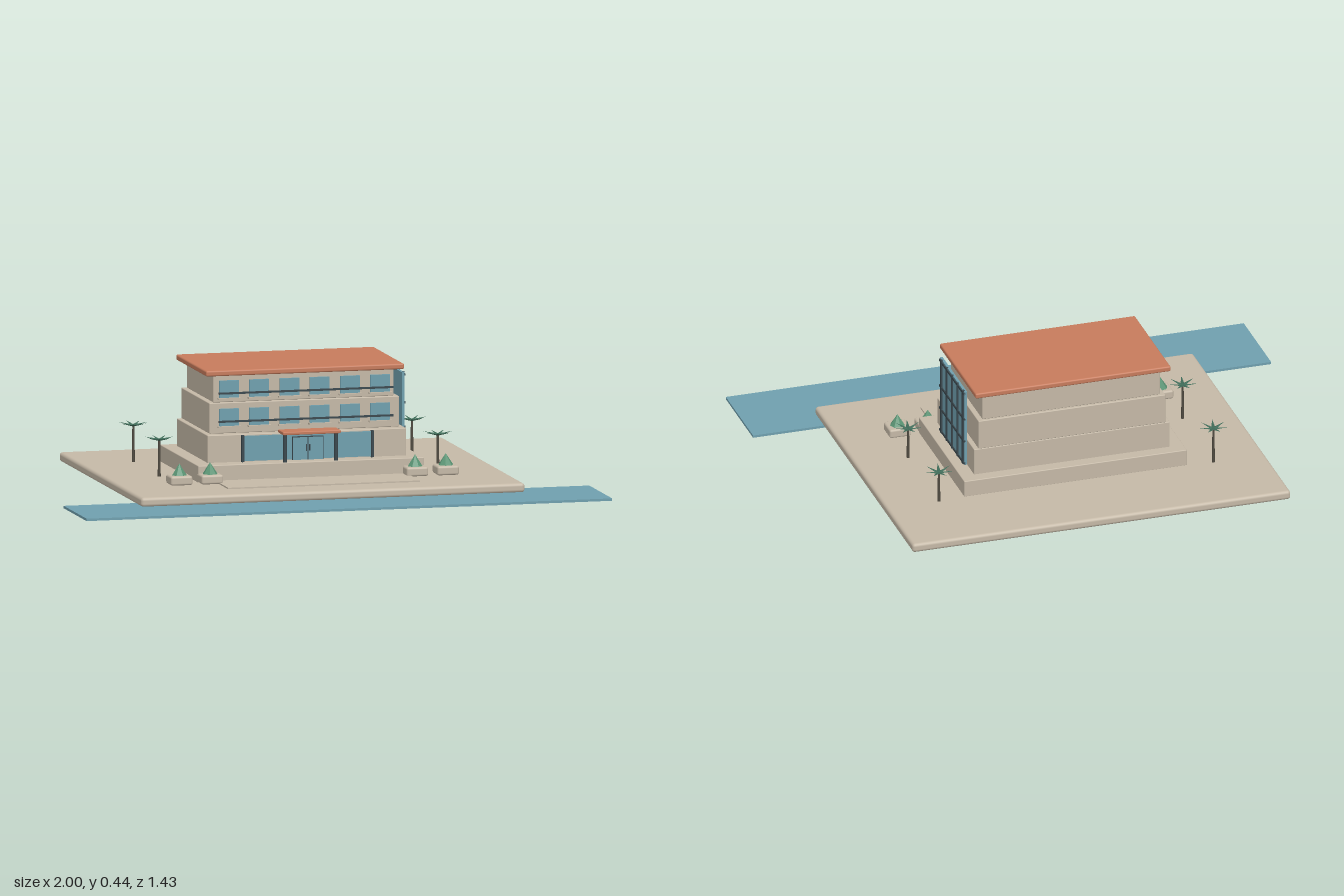
import * as THREE from 'three';
import { RoundedBoxGeometry } from 'three/addons/geometries/RoundedBoxGeometry.js';

export function createModel() {
  const model = new THREE.Group();
  const mat = (name, color, extra = {}) => {
    const m = new THREE.MeshStandardMaterial({ color, ...extra });
    m.name = name;
    return m;
  };
  const stone = mat('stone', 0xc4b8a6);
  const terracotta = mat('terracotta', 0xc67b5c);
  const glass = mat('glass', 0x6f9fae);
  const dark = mat('darkMetal', 0x3a474d);
  const trunkMat = mat('trunk', 0x4f4a40);
  const leaf = mat('leaf', 0x5a9474, { flatShading: true });
  const palmLeaf = mat('palmLeaf', 0x3f6b58, { flatShading: true });

  const add = (name, geometry, material, parent = model) => {
    const mesh = new THREE.Mesh(geometry, material);
    mesh.name = name;
    parent.add(mesh);
    return mesh;
  };
  // Box given by its extents; r rounds the edges
  const box = (name, material, [x0, x1], [y0, y1], [z0, z1], r = 0, parent = model) => {
    const s = [x1 - x0, y1 - y0, z1 - z0];
    const g = r ? new RoundedBoxGeometry(...s, 3, r) : new THREE.BoxGeometry(...s);
    g.translate((x0 + x1) / 2, (y0 + y1) / 2, (z0 + z1) / 2);
    return add(name, g, material, parent);
  };

  // Site
  box('water', glass, [-1, 1], [0, 0.009], [0.38, 0.713]);
  box('ground', stone, [-0.73, 0.73], [0.007, 0.042], [-0.715, 0.48], 0.012);
  box('plaza', stone, [-0.365, 0.365], [0.04, 0.047], [0.1, 0.347]);
  box('podium', stone, [-0.43, 0.43], [0.04, 0.104], [-0.395, 0.16], 0.003);

  // Stepped floors and roof
  box('groundFloor', stone, [-0.378, 0.378], [0.1, 0.206], [-0.35, 0.097], 0.003);
  box('middleFloor', stone, [-0.361, 0.361], [0.206, 0.32], [-0.35, 0.058], 0.003);
  box('topFloor', stone, [-0.343, 0.343], [0.32, 0.425], [-0.34, 0.046], 0.003);
  box('roof', terracotta, [-0.377, 0.377], [0.421, 0.442], [-0.366, 0.073], 0.006);

  // Window rows with sills and a long rail
  for (const y of [0.23, 0.335]) {
    for (let i = 0; i < 6; i++) {
      const x = (i - 2.5) * 0.115;
      box('window', glass, [x - 0.037, x + 0.037], [y, y + 0.068], [0.057, 0.066]);
      box('sill', stone, [x - 0.043, x + 0.043], [y - 0.002, y + 0.004], [0.06, 0.076]);
    }
    box('balconyRail', dark, [-0.332, 0.332], [y + 0.02, y + 0.027], [0.083, 0.089]);
  }

  // Entrance glazing, door and canopy
  box('lobbyGlass', glass, [-0.25, 0.25], [0.107, 0.2], [0.098, 0.106]);
  for (const x of [-0.246, 0.246]) {
    box('lobbyPost', dark, [x - 0.005, x + 0.005], [0.104, 0.203], [0.097, 0.112]);
  }
  box('door', glass, [-0.058, 0.058], [0.105, 0.19], [0.105, 0.112]);
  for (const x of [-0.058, 0, 0.058]) {
    box('doorFrame', dark, [x - 0.0015, x + 0.0015], [0.105, 0.192], [0.106, 0.113]);
  }
  box('doorHead', dark, [-0.058, 0.058], [0.189, 0.192], [0.106, 0.113]);
  for (const x of [-0.006, 0.006]) {
    box('doorHandle', dark, [x - 0.002, x + 0.002], [0.138, 0.162], [0.111, 0.117]);
  }
  box('canopy', terracotta, [-0.11, 0.11], [0.207, 0.219], [0.097, 0.172], 0.003);
  for (const x of [-0.097, 0.097]) {
    const column = add('canopyColumn', new THREE.CylinderGeometry(0.007, 0.007, 0.106, 12), dark);
    column.position.set(x, 0.156, 0.149);
  }

  // Tall glazed wall on the left side
  const wall = new THREE.Group();
  wall.name = 'curtainWall';
  model.add(wall);
  box('curtainGlass', glass, [0.378, 0.388], [0.104, 0.404], [-0.265, 0.034], 0, wall);
  for (let i = 0; i < 5; i++) {
    const z = 0.011 - i * 0.0653;
    box('mullion', dark, [0.384, 0.393], [0.104, 0.404], [z - 0.005, z + 0.005], 0, wall);
  }
  for (const y of [0.11, 0.2, 0.291, 0.395]) {
    box('transom', dark, [0.384, 0.392], [y - 0.004, y + 0.004], [-0.265, 0.034], 0, wall);
  }

  // Planters with faceted shrubs
  for (const x of [-0.507, -0.39, 0.39, 0.507]) {
    box('planter', stone, [x - 0.041, x + 0.041], [0.042, 0.076], [0.138, 0.218], 0.008);
    const shrub = add('shrub', new THREE.ConeGeometry(0.034, 0.052, 7), leaf);
    shrub.position.set(x, 0.093, 0.178);
    shrub.rotation.y = x * 3;
  }

  // Palms: tapered trunk and a star of upswept fronds
  const frond = new THREE.ConeGeometry(0.009, 0.056, 4);
  frond.translate(0, 0.028, 0);
  frond.scale(1, 1, 0.45);
  frond.rotateX(Math.PI / 2 - 0.2);
  for (const x of [-0.53, 0.53]) {
    const top = x < 0 ? 0.178 : 0.158;
    for (const z of [-0.4, -0.025]) {
      const palm = new THREE.Group();
      palm.name = 'palm';
      palm.position.set(x, 0, z);
      model.add(palm);
      const h = top - 0.04;
      const trunk = add('palmTrunk', new THREE.CylinderGeometry(0.004, 0.006, h, 8), trunkMat, palm);
      trunk.position.y = 0.04 + h / 2;
      for (let i = 0; i < 7; i++) {
        const f = add('palmFrond', frond, palmLeaf, palm);
        f.position.y = top;
        f.rotation.y = (i / 7) * Math.PI * 2 + Math.PI / 2;
      }
    }
  }
  return model;
}
